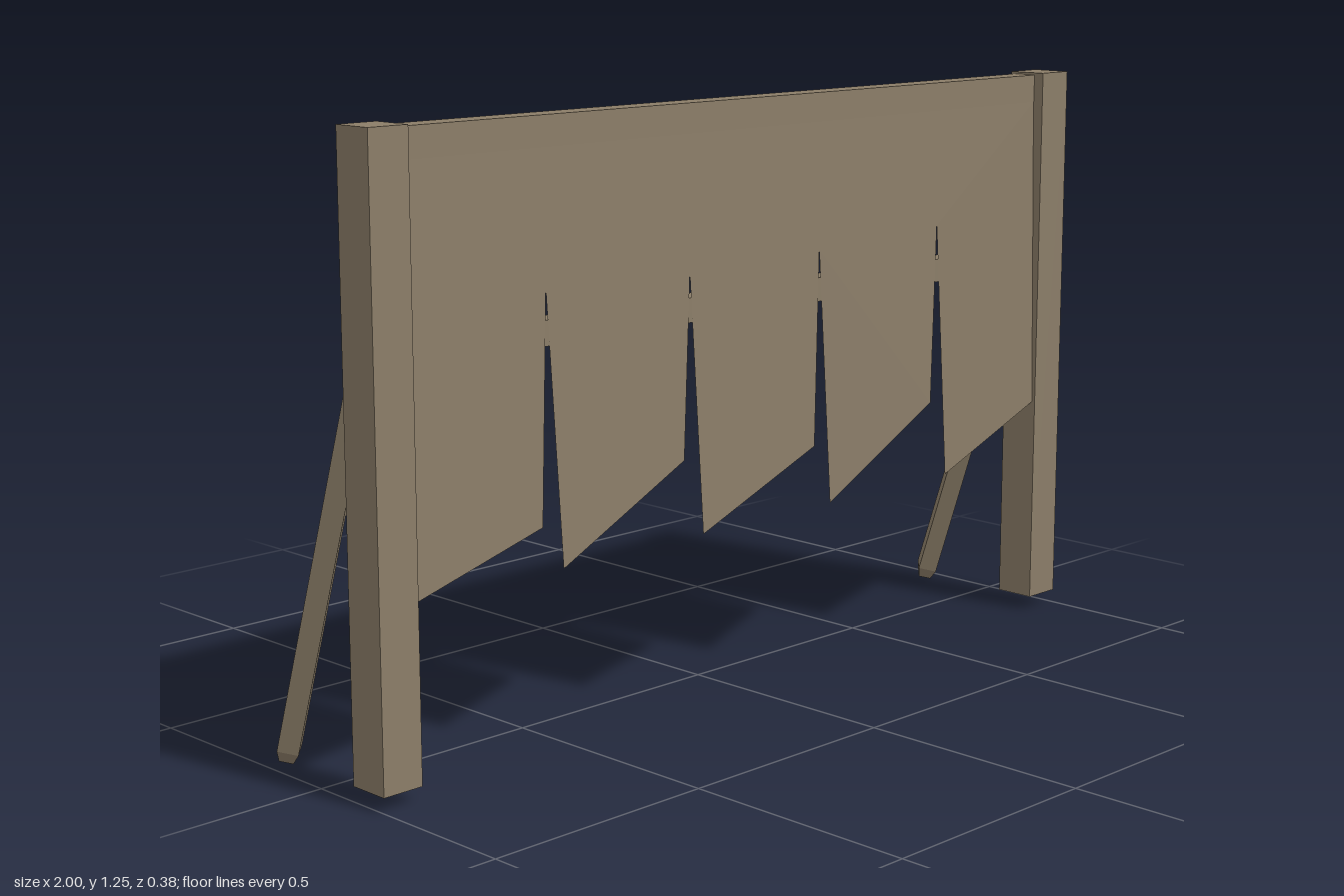
import * as THREE from 'three';

const wood = new THREE.MeshStandardMaterial({ color: 0x8b7d68, flatShading: true });
wood.name = 'weatheredWood';
const cloth = wood.clone();
cloth.name = 'weatheredPanel';
cloth.side = THREE.DoubleSide;

function add(parent, name, geometry, material = wood) {
  const mesh = new THREE.Mesh(geometry, material);
  mesh.name = name;
  parent.add(mesh);
  return mesh;
}

// box given by its lower and upper limits on each axis
function box(parent, name, [x0, x1], [y0, y1], [z0, z1]) {
  const mesh = add(parent, name, new THREE.BoxGeometry(x1 - x0, y1 - y0, z1 - z0));
  mesh.position.set((x0 + x1) / 2, (y0 + y1) / 2, (z0 + z1) / 2);
}

// diamond-section prop leaning against the back of a post, with a bevelled foot
function brace(name, x) {
  const group = new THREE.Group();
  group.name = name;
  const length = 0.895, foot = 0.025;
  add(group, 'braceShaft', new THREE.CylinderGeometry(0.03, 0.03, length, 4)).position.y = length / 2;
  add(group, 'braceFoot', new THREE.CylinderGeometry(0.03, 0.02, foot, 4)).position.y = -foot / 2;
  group.position.set(x, 0.03, -0.16);
  group.rotation.x = 0.318;
  return group;
}

// thin hanging sheet with ragged slits, leaning slightly forward at the bottom
function panelGeometry() {
  const top = 1.185, bottom = 0.375;
  const outline = [
    [-0.91, top], [-0.91, 0.38],
    [-0.6, 0.465], [-0.576, 0.92], [-0.55, 0.375],
    [-0.22, 0.535], [-0.195, 0.91], [-0.17, 0.375],
    [0.165, 0.505], [0.186, 0.92], [0.212, 0.375],
    [0.545, 0.545], [0.568, 0.935], [0.595, 0.375],
    [0.91, 0.495], [0.91, top],
  ];
  const shape = new THREE.Shape(outline.map(([x, y]) => new THREE.Vector2(x, y)));
  const geometry = new THREE.ShapeGeometry(shape);
  const p = geometry.attributes.position;
  for (let i = 0; i < p.count; i++) {
    p.setZ(i, 0.165 + 0.02 * (top - p.getY(i)) / (top - bottom));
  }
  geometry.computeVertexNormals();
  return geometry;
}

export function createModel() {
  const model = new THREE.Group();
  model.name = 'woodenScreen';

  // posts and their rear props
  for (const [side, s] of [['left', 1], ['right', -1]]) {
    const limits = s > 0 ? [0.91, 1] : [-1, -0.91];
    box(model, side + 'Post', limits, [0.03, 1.25], [0.1, 0.19]);
    model.add(brace(side + 'Brace', s * 0.955));
  }

  // cross rails
  box(model, 'topRail', [-0.91, 0.91], [1.185, 1.245], [0.11, 0.166]);
  box(model, 'lowerRail', [-0.91, 0.91], [0.81, 0.86], [0.125, 0.172]);

  add(model, 'slitPanel', panelGeometry(), cloth);
  return model;
}
